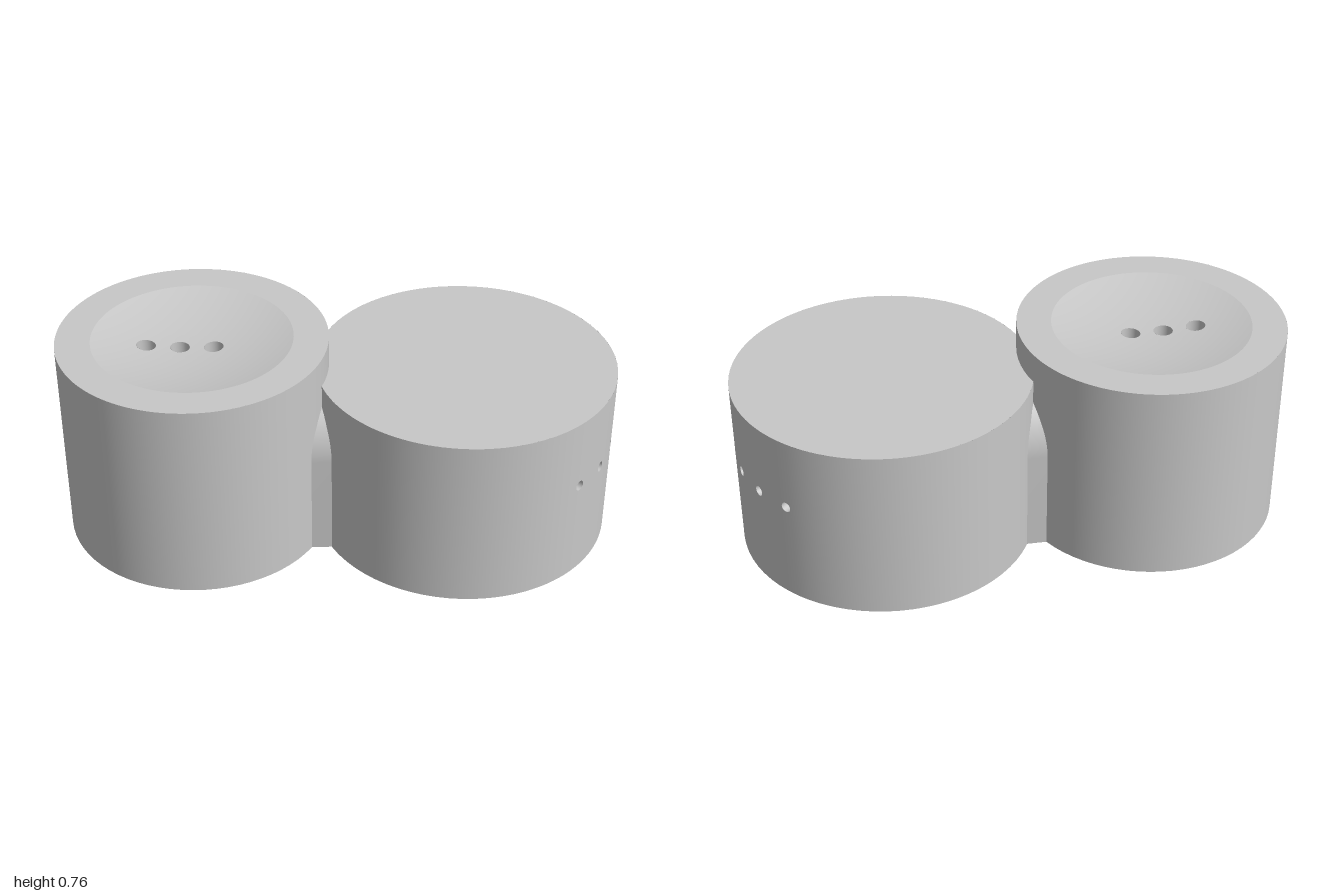
import * as THREE from 'three';
import { mergeGeometries, toCreasedNormals } from 'three/addons/utils/BufferGeometryUtils.js';

const SEG = 72;
const TALL = { x: -0.515, r: 0.485, h: 0.76 };
const WIDE = { x: 0.46, r: 0.54, h: 0.65 };
const DISH = { r: 0.36, depth: 0.045 };
DISH.sphere = (DISH.r ** 2 + DISH.depth ** 2) / (2 * DISH.depth);
const HOLES = [-0.165, -0.045, 0.075]; // pour holes, relative to the tall body

const grey = new THREE.MeshStandardMaterial({ color: 0xc8c8c8, side: THREE.DoubleSide });
grey.name = 'plain grey';

function add(parent, name, geometry, x = 0, y = 0, z = 0) {
  const mesh = new THREE.Mesh(geometry, grey);
  mesh.name = name;
  mesh.position.set(x, y, z);
  parent.add(mesh);
  return mesh;
}

const dishY = (x, z) =>
  TALL.h - DISH.depth + DISH.sphere - Math.sqrt(DISH.sphere ** 2 - x * x - z * z);

// Drop a horizontal geometry onto the dish and give it the dish's normals
function dropOnDish(geo) {
  const p = geo.attributes.position, n = geo.attributes.normal;
  for (let i = 0; i < p.count; i++) {
    const x = p.getX(i), z = p.getZ(i);
    p.setY(i, dishY(x, z));
    const up = Math.sqrt(DISH.sphere ** 2 - x * x - z * z);
    n.setXYZ(i, -x / DISH.sphere, up / DISH.sphere, -z / DISH.sphere);
  }
  return geo;
}

// Open wall between two heights
function wall(r, y0, y1, start = 0, seg = SEG) {
  return new THREE.CylinderGeometry(r, r, y1 - y0, seg, 1, true, start).translate(0, (y0 + y1) / 2, 0);
}

const flatDisc = (r, up, seg = SEG) =>
  new THREE.CircleGeometry(r, seg).rotateX(up ? -Math.PI / 2 : Math.PI / 2);

function tallBody() {
  const g = new THREE.Group();
  g.name = 'tallBody';
  g.position.x = TALL.x;
  add(g, 'tallWall', wall(TALL.r, 0, TALL.h));
  add(g, 'topRim', new THREE.RingGeometry(DISH.r, TALL.r, 96).rotateX(-Math.PI / 2), 0, TALL.h, 0);

  // Dish: rings blending from an ellipse around the holes to the round rim
  const inner = (t) => [-0.045 + 0.21 * Math.cos(t), 0.08 * Math.sin(t)];
  const ring = new THREE.RingGeometry(1, 2, 96, 10);
  const p = ring.attributes.position;
  for (let i = 0; i < p.count; i++) {
    const t = Math.atan2(p.getY(i), p.getX(i));
    const f = Math.hypot(p.getX(i), p.getY(i)) - 1;
    const [ex, ey] = inner(t);
    p.setXY(i, THREE.MathUtils.lerp(ex, DISH.r * Math.cos(t), f),
      THREE.MathUtils.lerp(ey, DISH.r * Math.sin(t), f));
  }
  add(g, 'dish', dropOnDish(ring.rotateX(-Math.PI / 2)));

  // Dish centre pierced by the pour holes
  const centre = new THREE.Shape(
    Array.from({ length: 96 }, (_, i) => new THREE.Vector2(...inner(i / 96 * Math.PI * 2))));
  for (const x of HOLES) centre.holes.push(new THREE.Path().absarc(x, 0, 0.035, 0, Math.PI * 2, true));
  add(g, 'dishCentre', dropOnDish(new THREE.ShapeGeometry(centre, 24).rotateX(-Math.PI / 2)));
  for (const x of HOLES) {
    const floor = 0.55;
    const tube = new THREE.CylinderGeometry(0.035, 0.035, 1, 24, 1, true);
    const q = tube.attributes.position;
    for (let i = 0; i < q.count; i++) {
      q.setY(i, q.getY(i) > 0 ? dishY(x + q.getX(i), q.getZ(i)) : floor);
    }
    add(g, 'pourHoleWall', tube, x);
    add(g, 'pourHoleFloor', flatDisc(0.035, true, 24), x, floor, 0);
  }

  // Underside with the filling hole
  add(g, 'tallBase', new THREE.RingGeometry(0.12, TALL.r, SEG).rotateX(Math.PI / 2));
  add(g, 'fillHoleWall', wall(0.12, 0, 0.35));
  add(g, 'fillHoleEnd', flatDisc(0.12, false), 0, 0.35, 0);
  return g;
}

function wideBody() {
  const g = new THREE.Group();
  g.name = 'wideBody';
  g.position.x = WIDE.x;
  const { r, h } = WIDE;
  const step = Math.PI * 2 / SEG, y = 0.38, half = 0.03, holeR = 0.019;
  add(g, 'wideBase', flatDisc(r, false));
  add(g, 'wideTop', flatDisc(r, true), 0, h, 0);
  add(g, 'lowerWall', wall(r, 0, y - half, step / 2));
  add(g, 'upperWall', wall(r, y + half, h, step / 2));

  // Band of bent cells; every third cell on the +x side carries a hole
  const cells = [];
  for (let i = 0; i < SEG; i++) {
    const k = i - SEG / 4;
    const pierced = Math.abs(k) <= 9 && k % 3 === 0;
    const w = r * step / 2;
    const cell = new THREE.Shape([[-w, -half], [w, -half], [w, half], [-w, half]]
      .map((c) => new THREE.Vector2(...c)));
    if (pierced) cell.holes.push(new THREE.Path().absarc(0, 0, holeR, 0, Math.PI * 2, true));
    const geo = new THREE.ShapeGeometry(cell, 20);
    const p = geo.attributes.position, n = geo.attributes.normal;
    for (let j = 0; j < p.count; j++) {
      const a = i * step + p.getX(j) / r;
      n.setXYZ(j, Math.sin(a), 0, Math.cos(a));
      p.setXYZ(j, r * Math.sin(a), y + p.getY(j), r * Math.cos(a));
    }
    cells.push(geo);

    if (pierced) {
      const depth = 0.3;
      const hole = new THREE.Group();
      hole.name = 'sideHole';
      hole.position.y = y;
      hole.rotation.y = i * step;
      add(hole, 'sideHoleWall', new THREE.CylinderGeometry(holeR, holeR, depth, 20, 1, true)
        .rotateX(Math.PI / 2), 0, 0, r - depth / 2);
      add(hole, 'sideHoleEnd', new THREE.CircleGeometry(holeR, 20), 0, 0, r - depth);
      g.add(hole);
    }
  }
  add(g, 'holeBand', mergeGeometries(cells));
  return g;
}

// Round-topped web joining the two bodies
function bridge() {
  const r = 0.242, spring = 0.38;
  const arch = new THREE.Shape();
  arch.moveTo(-r, 0);
  arch.lineTo(r, 0);
  arch.lineTo(r, spring);
  arch.absarc(0, spring, r, 0, Math.PI, false);
  arch.lineTo(-r, 0);
  const geo = new THREE.ExtrudeGeometry(arch, { depth: 0.13, bevelEnabled: false, curveSegments: 32 });
  return toCreasedNormals(geo.rotateY(Math.PI / 2), 0.5);
}

export function createModel() {
  const model = new THREE.Group();
  model.name = 'joinedShakers';
  model.add(tallBody(), wideBody());
  add(model, 'bridge', bridge(), -0.125);
  return model;
}
